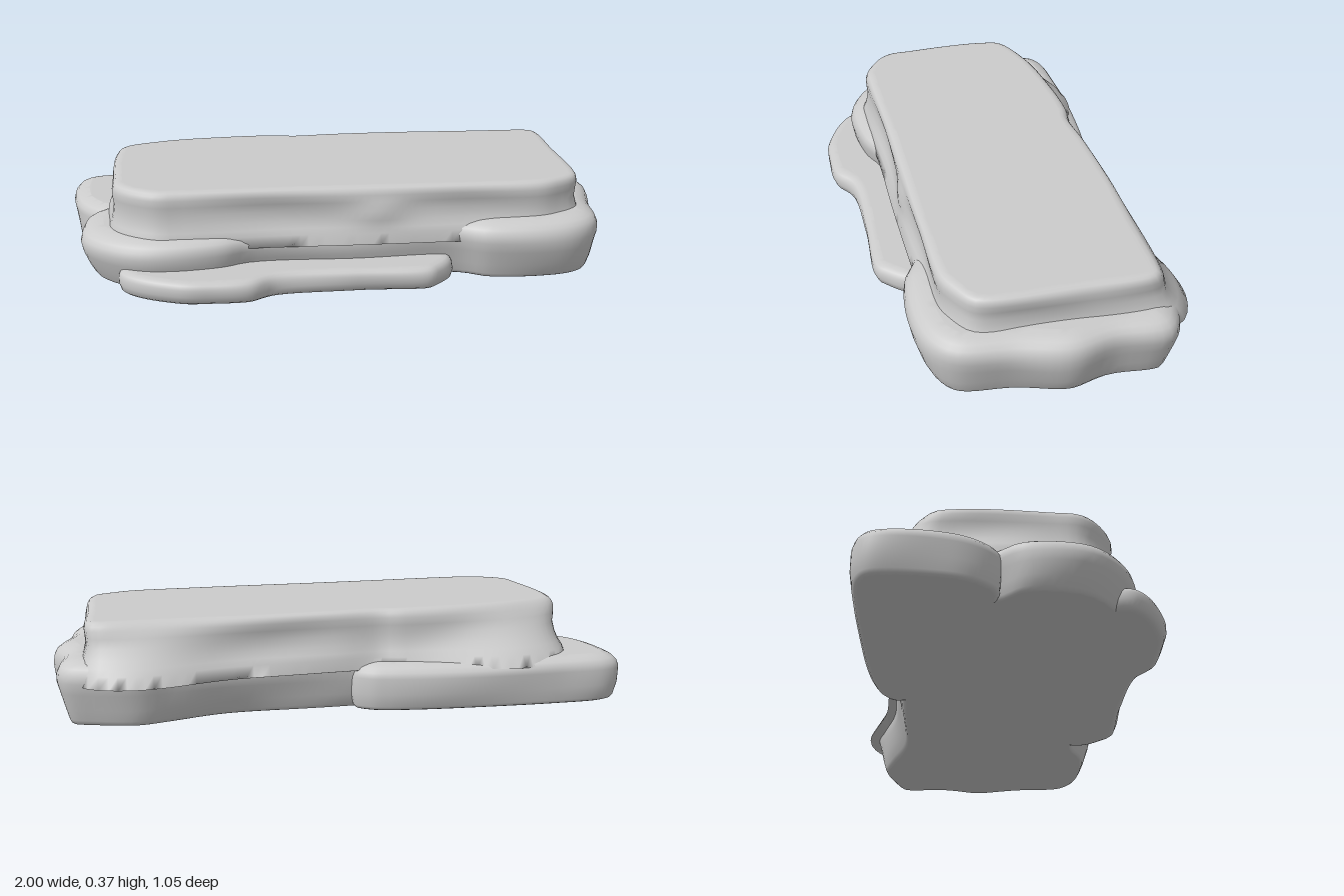
import * as THREE from 'three';

const STEPS = 160;

// Evenly sampled smooth closed outline in (x, z), always running the same way round
function smoothOutline(points) {
  const curve = new THREE.CatmullRomCurve3(
    points.map(([x, z]) => new THREE.Vector3(x, 0, z)), true, 'centripetal');
  const ring = curve.getSpacedPoints(STEPS).slice(0, STEPS).map((p) => new THREE.Vector2(p.x, p.z));
  return THREE.ShapeUtils.area(ring) < 0 ? ring.reverse() : ring;
}

// One stone layer: the outline is stacked along a profile of [height, inset], then capped
function stoneLayer(name, points, profile, warp = () => {}) {
  const ring = smoothOutline(points);
  const positions = [], index = [];
  const v = new THREE.Vector3();
  for (const [y, inset] of profile) {
    ring.forEach((p, j) => {
      const a = ring[(j + STEPS - 2) % STEPS], b = ring[(j + 2) % STEPS];
      const t = b.clone().sub(a).normalize();
      // gentle weathering of the side walls
      const wear = 0.006 * Math.sin(9 * p.x + 14 * y) * Math.sin(11 * p.y - 18 * y + 2);
      v.set(p.x - t.y * (inset + wear), y, p.y + t.x * (inset + wear));
      warp(v);
      v.y += 0.016 - 0.0125 * v.x; // the whole stone leans slightly
      positions.push(v.x, v.y, v.z);
    });
  }
  for (let i = 0; i < profile.length - 1; i++) {
    for (let j = 0; j < STEPS; j++) {
      const a = i * STEPS + j, b = i * STEPS + (j + 1) % STEPS;
      const c = a + STEPS, d = b + STEPS;
      index.push(a, c, b, b, c, d);
    }
  }
  const top = (profile.length - 1) * STEPS;
  for (const [a, b, c] of THREE.ShapeUtils.triangulateShape(ring, [])) {
    const down = THREE.ShapeUtils.area([ring[a], ring[b], ring[c]]) > 0;
    const [p, q] = down ? [b, c] : [c, b];
    index.push(a, p, q, top + a, top + q, top + p);
  }
  const geometry = new THREE.BufferGeometry();
  geometry.setAttribute('position', new THREE.Float32BufferAttribute(positions, 3));
  geometry.setIndex(index);
  geometry.computeVertexNormals();
  const mesh = new THREE.Mesh(geometry, new THREE.MeshStandardMaterial({ color: 0xcccccc }));
  mesh.name = name;
  return mesh;
}

const bump = (x, centre, width) => Math.exp(-(((x - centre) / width) ** 2));

export function createModel() {
  const model = new THREE.Group();
  model.name = 'layeredRock';

  // Broad lower layer with rounded lobes, thicker towards +x
  model.add(stoneLayer('lowerLayer', [
    [-0.94, 0], [-0.945, 0.2], [-0.87, 0.31], [-0.72, 0.385], [-0.46, 0.38], [-0.36, 0.345],
    [0, 0.34], [0.37, 0.345], [0.49, 0.4], [0.8, 0.4], [0.9, 0.33], [0.94, 0.14], [0.995, -0.05],
    [0.96, -0.2], [0.96, -0.39], [0.86, -0.45], [0.71, -0.49], [0.58, -0.46], [0.38, -0.405],
    [-0.05, -0.41], [-0.8, -0.4], [-0.86, -0.1],
  ], [
    [0, 0.05], [0.004, 0.043], [0.015, 0.036], [0.05, 0.022], [0.1, 0.008], [0.135, 0],
    [0.16, 0.004], [0.178, 0.014], [0.19, 0.032], [0.198, 0.055], [0.202, 0.08],
  ], (v) => { v.y *= 1 + 0.12 * v.x; }));

  // Slab sticking out at the back corner
  model.add(stoneLayer('backSlab', [
    [-0.995, -0.2], [-0.995, -0.47], [-0.94, -0.515], [-0.75, -0.53], [-0.5, -0.525],
    [-0.15, -0.48], [-0.08, -0.455], [-0.03, -0.4], [-0.1, -0.25], [-0.6, -0.1], [-0.88, -0.06], [-0.94, -0.1],
  ], [
    [0, 0.03], [0.004, 0.02], [0.015, 0.012], [0.06, 0.004], [0.115, 0],
    [0.135, 0.005], [0.15, 0.018], [0.16, 0.04], [0.166, 0.06],
  ]));

  // Thin ledge along the foot of the front
  model.add(stoneLayer('frontLedge', [
    [-0.82, 0.36], [-0.62, 0.505], [-0.5, 0.52], [-0.37, 0.512], [-0.28, 0.462], [0, 0.452],
    [0.26, 0.462], [0.3, 0.435], [0.37, 0.34], [0.3, 0.15], [-0.7, 0.15],
  ], [
    [0, 0.03], [0.003, 0.02], [0.012, 0.008], [0.035, 0], [0.06, 0.002],
    [0.074, 0.01], [0.081, 0.022], [0.083, 0.04],
  ]));

  // Thick flat-topped upper layer, flaring down at both back corners
  model.add(stoneLayer('upperLayer', [
    [-0.835, 0.1], [-0.83, 0.2], [-0.79, 0.26], [-0.69, 0.32], [-0.6, 0.325], [-0.3, 0.318], [0, 0.325], [0.4, 0.325],
    [0.69, 0.325], [0.76, 0.3], [0.84, 0.25], [0.86, 0.2], [0.87, -0.1], [0.87, -0.36], [0.84, -0.385],
    [0.4, -0.395], [0.02, -0.4], [-0.14, -0.385], [-0.2, -0.395], [-0.42, -0.385], [-0.65, -0.36], [-0.81, -0.29], [-0.835, -0.2],
  ], [
    [0.14, -0.025], [0.18, -0.018], [0.2, -0.008], [0.225, 0.001], [0.26, 0.008], [0.29, 0.003],
    [0.315, 0], [0.33, 0.004], [0.339, 0.011], [0.344, 0.022], [0.345, 0.035],
  ], (v) => {
    const back = THREE.MathUtils.smoothstep(-v.z, 0.15, 0.36);
    const drop = Math.max(0, 0.335 - v.y);
    v.z -= back * drop * (0.55 * bump(v.x, 0.7, 0.25) + 0.75 * bump(v.x, -0.7, 0.35));
    // shallow bulge under the front rim
    const front = THREE.MathUtils.smoothstep(v.z, 0.15, 0.3);
    v.z += 0.02 * front * bump(v.x, 0.1, 0.09) * bump(v.y, 0.25, 0.03);
  }));

  return model;
}
